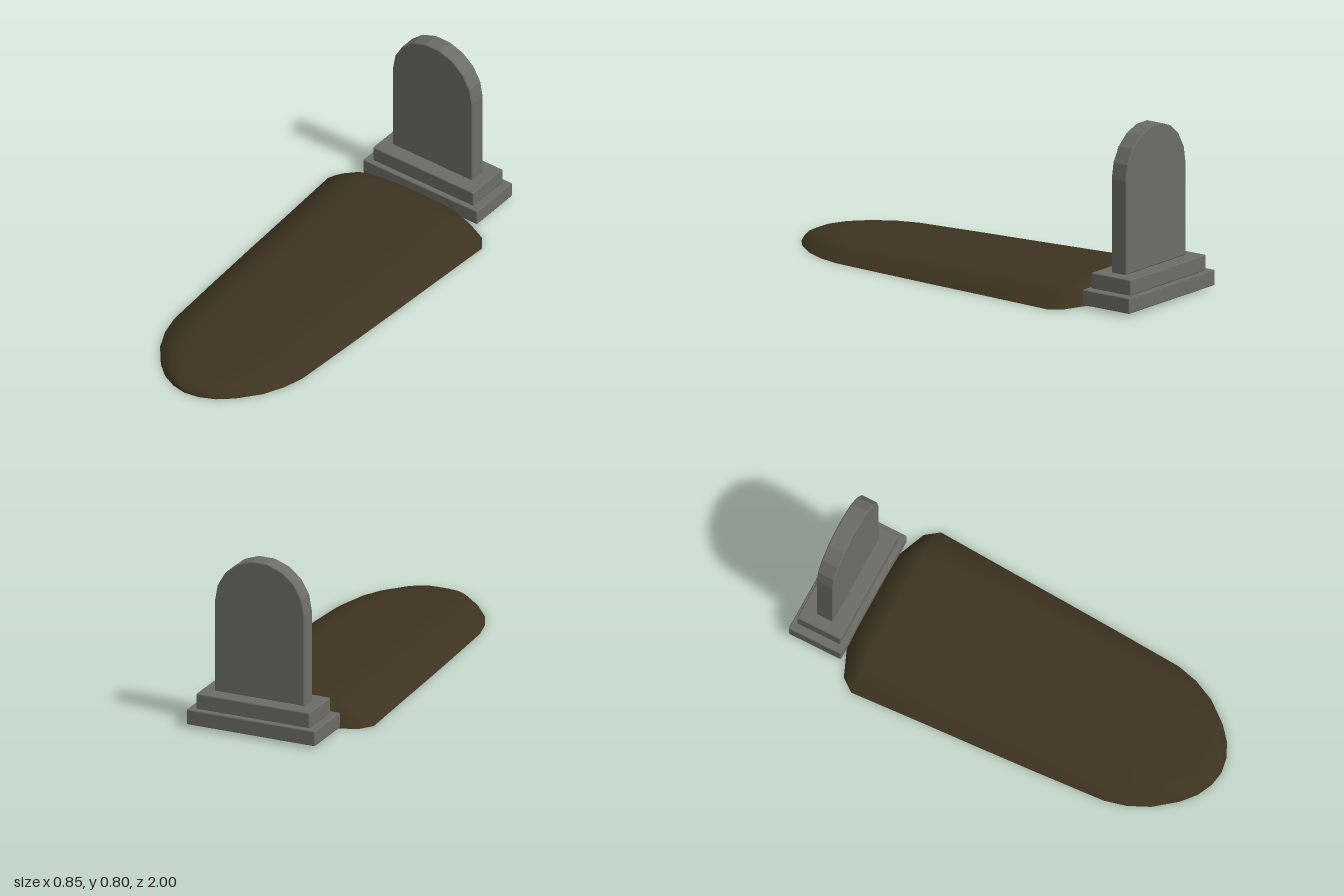
import * as THREE from 'three';
import { RoundedBoxGeometry } from 'three/addons/geometries/RoundedBoxGeometry.js';

const STONE_Z = -0.867;

// Block given by its size and its vertical extent
function slabBlock(name, width, depth, y0, y1, material) {
  const mesh = new THREE.Mesh(new RoundedBoxGeometry(width, y1 - y0, depth, 1, 0.006), material);
  mesh.name = name;
  mesh.position.set(0, (y0 + y1) / 2, STONE_Z);
  return mesh;
}

// Upright slab with a nine-sided round top and a fine bevel
function headstoneGeometry() {
  const r = 0.22, bottom = 0.158, spring = 0.584, depth = 0.082, bevel = 0.004;
  const points = [new THREE.Vector2(-r, bottom), new THREE.Vector2(r, bottom)];
  for (let i = 0; i <= 9; i++) {
    const a = (i * Math.PI) / 9;
    points.push(new THREE.Vector2(r * Math.cos(a), spring + r * Math.sin(a)));
  }
  const geometry = new THREE.ExtrudeGeometry(new THREE.Shape(points), {
    depth: depth - 2 * bevel, bevelEnabled: true, bevelSegments: 1,
    bevelSize: bevel, bevelThickness: bevel, bevelOffset: -bevel,
  });
  geometry.translate(0, 0, -depth / 2 + bevel);
  return geometry;
}

// Open shell lofted through domed cross-sections
function moundGeometry() {
  // z, half width, height
  const stations = [
    [1, 0, 0.005], [0.988, 0.07, 0.02], [0.955, 0.14, 0.036], [0.9, 0.205, 0.048],
    [0.8, 0.285, 0.06], [0.7, 0.332, 0.068], [0.6, 0.357, 0.073], [0.3, 0.376, 0.081],
    [0, 0.393, 0.088], [-0.3, 0.408, 0.096], [-0.625, 0.426, 0.105],
    [-0.687, 0.38, 0.083], [-0.74, 0.25, 0.038], [-0.758, 0, 0],
  ];
  // Half profile from rim to crown, as fractions of half width and height
  const half = [[1, 0], [0.9, 0.33], [0.8, 0.62], [0.7, 0.78], [0.59, 0.9], [0.42, 0.97], [0.2, 0.995]];
  const profile = [
    ...half.map(([x, y]) => [-x, y]), [0, 1], ...half.map(([x, y]) => [x, y]).reverse(),
  ];
  const n = profile.length;
  const positions = [], index = [];
  stations.forEach(([z, w, h], i) => {
    profile.forEach(([px, py], j) => {
      positions.push(px * w, py * h, z);
      if (i < stations.length - 1 && j < n - 1) {
        const a = i * n + j, c = a + n;
        index.push(a, a + 1, c, a + 1, c + 1, c);
      }
    });
  });
  const geometry = new THREE.BufferGeometry();
  geometry.setAttribute('position', new THREE.Float32BufferAttribute(positions, 3));
  geometry.setIndex(index);
  geometry.computeVertexNormals();
  return geometry;
}

export function createModel() {
  const stone = new THREE.MeshStandardMaterial({ color: 0x6c6c67 });
  stone.name = 'grey stone';
  const earth = new THREE.MeshStandardMaterial({ color: 0x3d3320, side: THREE.DoubleSide });
  earth.name = 'brown earth';

  const group = new THREE.Group();
  group.name = 'grave';

  // Stepped plinth
  group.add(slabBlock('lowerPlinth', 0.63, 0.262, 0.013, 0.085, stone));
  group.add(slabBlock('upperPlinth', 0.556, 0.218, 0.085, 0.158, stone));

  const headstone = new THREE.Mesh(headstoneGeometry(), stone);
  headstone.name = 'headstone';
  headstone.position.z = STONE_Z;
  group.add(headstone);

  // Earth in front of the stone
  const mound = new THREE.Mesh(moundGeometry(), earth);
  mound.name = 'earthMound';
  group.add(mound);

  return group;
}
